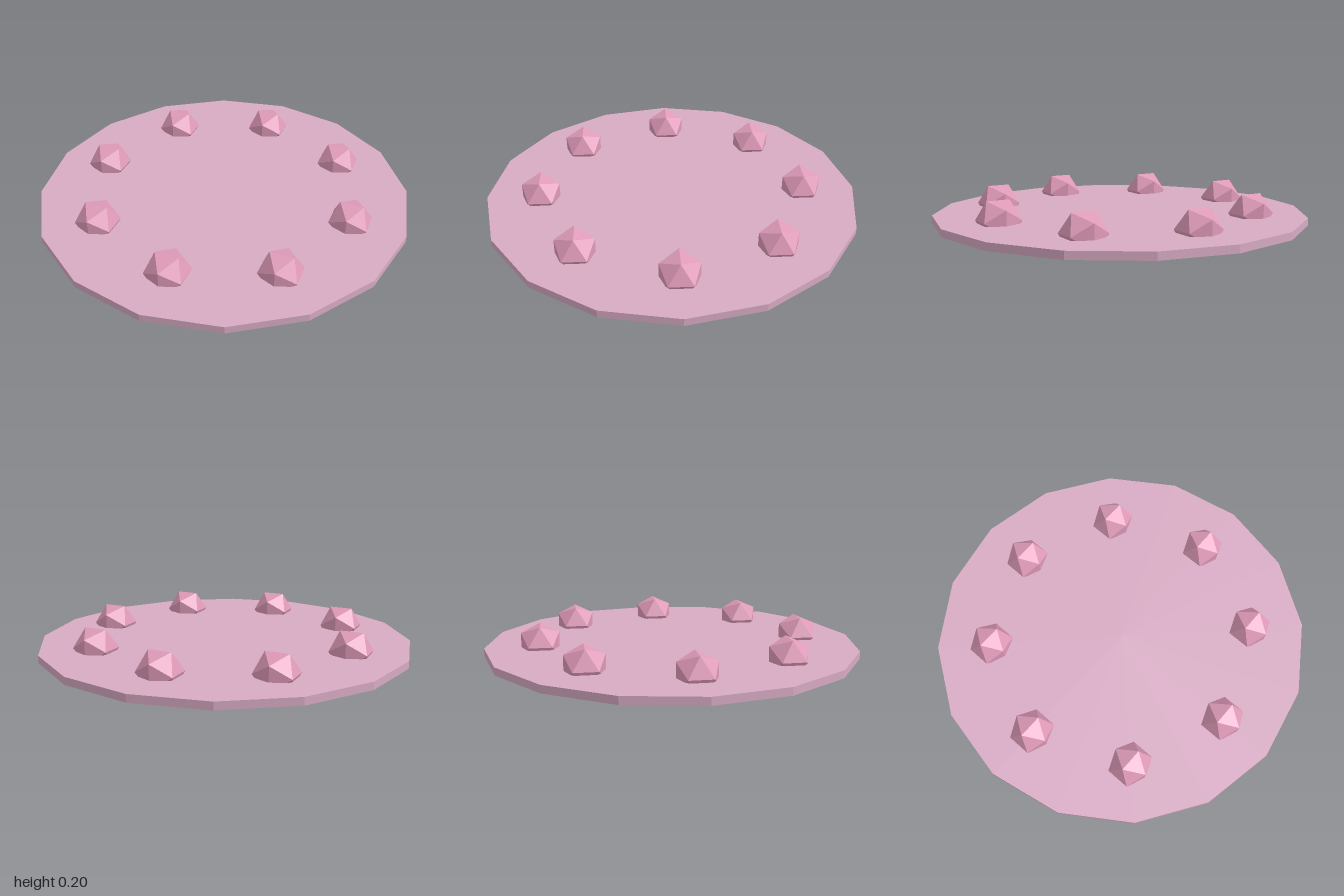
import * as THREE from 'three';

export function createModel() {
  const group = new THREE.Group();
  const plateMaterial = new THREE.MeshStandardMaterial({ color: 0xd8abc4, flatShading: true });
  plateMaterial.name = 'pale pink';
  const gemMaterial = new THREE.MeshStandardMaterial({ color: 0xe09bb9, flatShading: true });
  gemMaterial.name = 'rose pink';

  // Thin sixteen-sided disc
  const plate = new THREE.Mesh(new THREE.CylinderGeometry(1, 1, 0.04, 16), plateMaterial);
  plate.name = 'plate';
  plate.position.y = 0.065;
  group.add(plate);

  // Ring of eight identical gems, all facing the same way, sunk through the disc
  const gemGeometry = new THREE.IcosahedronGeometry(0.1176, 0);
  const count = 8, ringRadius = 0.706;
  for (let i = 0; i < count; i++) {
    const angle = (i / count) * Math.PI * 2;
    const gem = new THREE.Mesh(gemGeometry, gemMaterial);
    gem.name = `gem${i + 1}`;
    gem.position.set(Math.cos(angle) * ringRadius, 0.1, Math.sin(angle) * ringRadius);
    group.add(gem);
  }
  return group;
}
